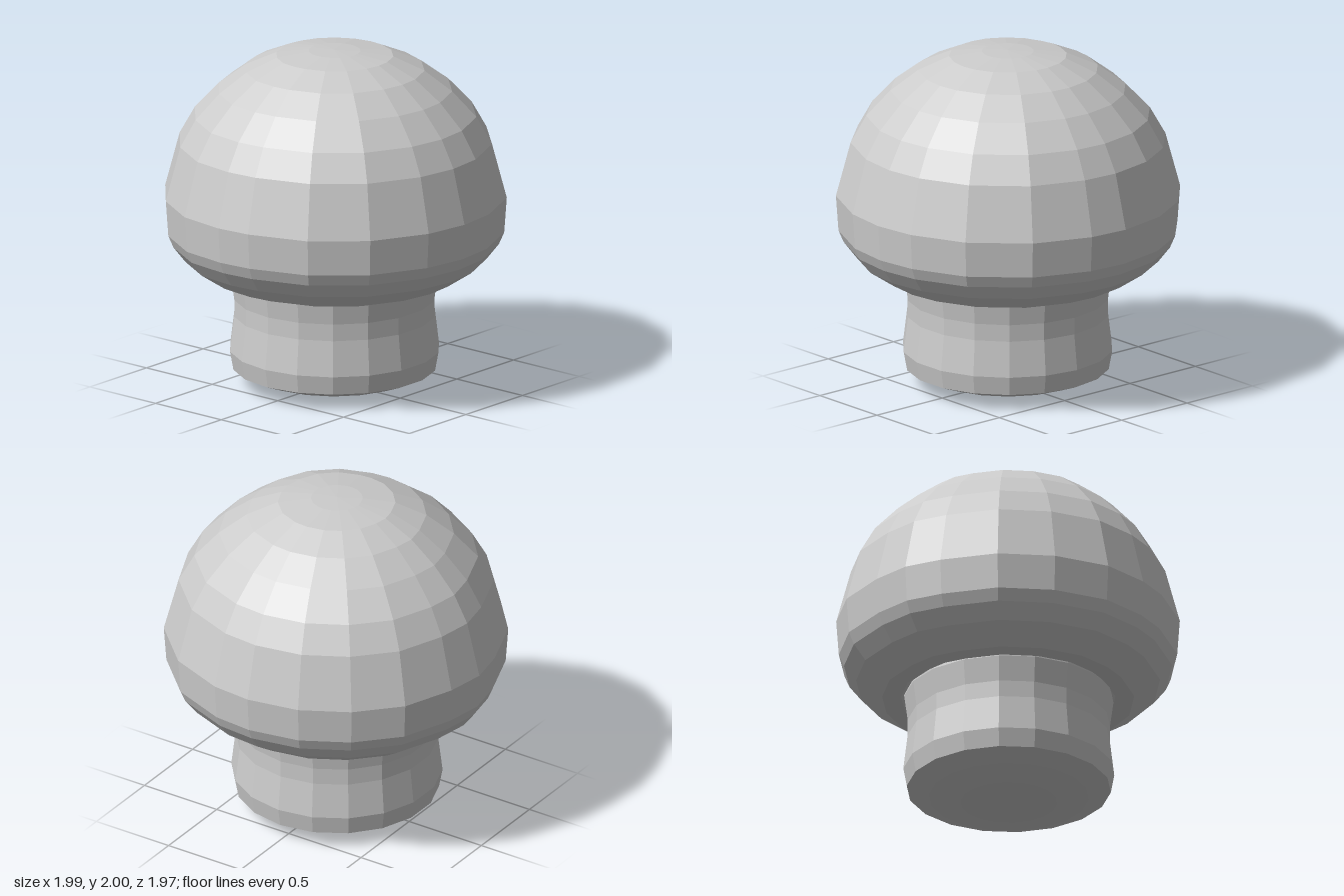
import * as THREE from 'three';

const material = new THREE.MeshStandardMaterial({ color: 0xcccccc, flatShading: true });

// Uneven hand-cut rim of the cap, as (x, z) from the front round by the left
const RIM = [
  [-0.04, 0.98], [0.17, 0.96], [0.52, 0.84], [0.79, 0.6], [0.95, 0.27],
  [0.99, 0], [0.96, -0.25], [0.82, -0.57], [0.54, -0.84], [0.2, -0.97],
  [-0.04, -0.99], [-0.35, -0.93], [-0.62, -0.78], [-0.84, -0.55], [-0.96, -0.25],
  [-1, -0.02], [-0.96, 0.2], [-0.84, 0.52], [-0.62, 0.77], [-0.33, 0.94],
];

// Profiles as (radius, height), from bottom to top
const CAP = [
  [0.57, 0.7], [0.62, 0.67], [0.73, 0.67], [0.88, 0.77], [0.95, 0.86], [0.98, 0.93],
  [0.995, 1.14], [0.91, 1.46], [0.82, 1.62], [0.68, 1.77], [0.52, 1.89],
  [0.34, 1.97], [0.15, 1.995], [0, 2],
];
const STEM = [
  [0, 0], [0.28, 0.015], [0.46, 0.05], [0.59, 0.1], [0.61, 0.21],
  [0.585, 0.42], [0.585, 0.52], [0.605, 0.67], [0.6, 0.72],
];

function turned(name, profile, sides) {
  const points = profile.map(([r, y]) => new THREE.Vector2(r, y));
  const mesh = new THREE.Mesh(new THREE.LatheGeometry(points, sides), material);
  mesh.name = name;
  return mesh;
}

export function createModel() {
  const group = new THREE.Group();
  group.name = 'mushroom';

  // Cap: a turned dome whose columns follow the uneven rim
  const cap = turned('cap', CAP, RIM.length);
  const pos = cap.geometry.attributes.position;
  for (let i = 0; i <= RIM.length; i++) {
    const [x, z] = RIM[i % RIM.length];
    CAP.forEach(([r], j) => {
      const k = i * CAP.length + j;
      pos.setX(k, x * r / 0.995);
      pos.setZ(k, z * r / 0.995);
    });
  }
  cap.geometry.computeVertexNormals();

  // Stem: slightly waisted, with a rounded foot
  const stem = turned('stem', STEM, 18);

  group.add(cap, stem);
  return group;
}
